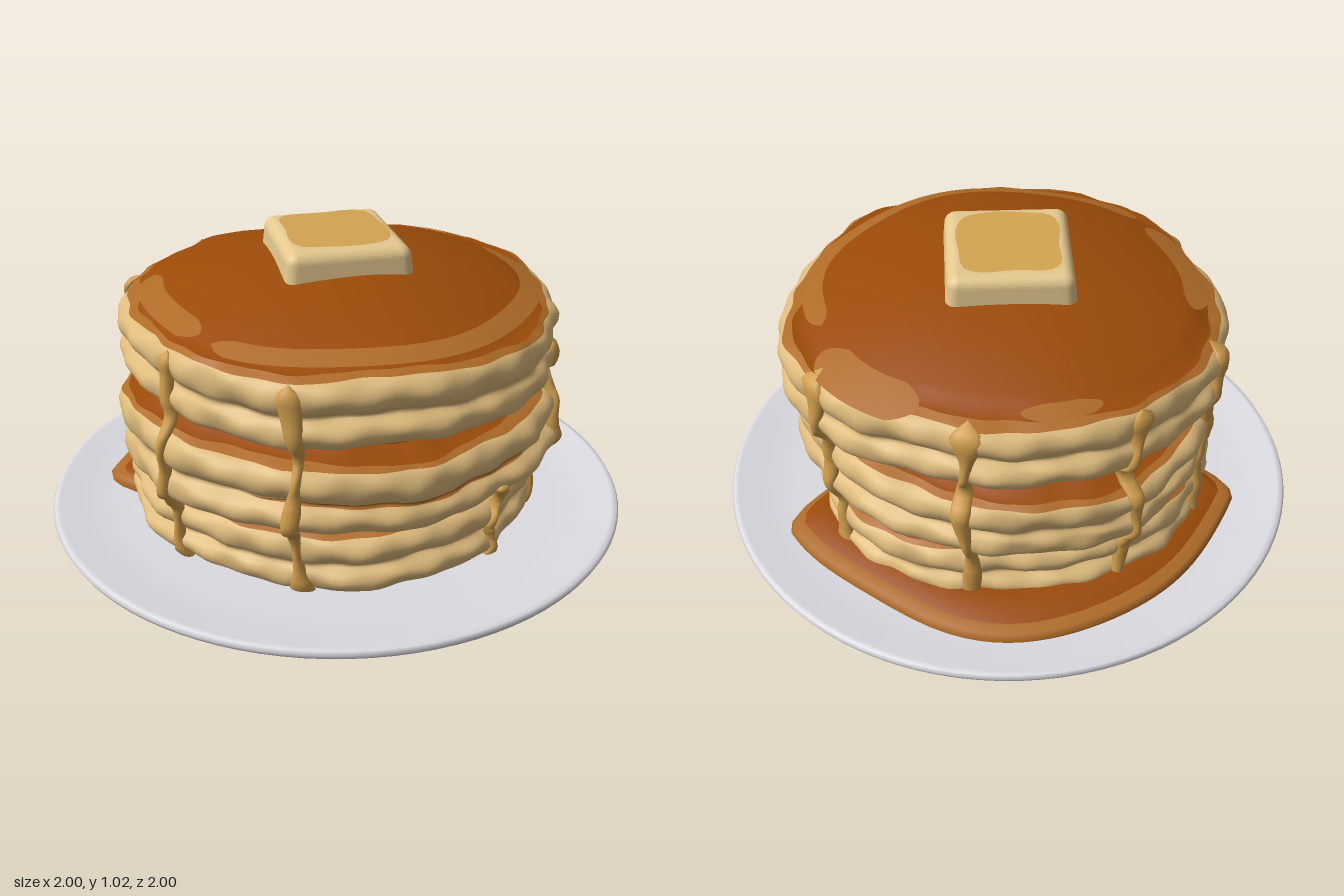
import * as THREE from 'three';
import { RoundedBoxGeometry } from 'three/addons/geometries/RoundedBoxGeometry.js';

const PI = Math.PI, { sin, cos, max, min, hypot, atan2 } = Math;
const mat = (name, color) => Object.assign(new THREE.MeshStandardMaterial({ color }), { name });
const smooth = THREE.MathUtils.smoothstep;

// Surface from cross-section loops: fn(u, a) gives [x, y, z]; rows run upward or inward
function loft(fn, rows, cols, a0 = 0, a1 = 2 * PI) {
  const closed = a1 - a0 > 2 * PI - 0.001;
  const n = closed ? cols : cols + 1, pos = [], idx = [];
  for (let i = 0; i <= rows; i++)
    for (let j = 0; j < n; j++) pos.push(...fn(i / rows, a0 + (a1 - a0) * j / cols));
  for (let i = 0; i < rows; i++)
    for (let j = 0; j < cols; j++) {
      const k = (j + 1) % n, a = i * n + j, b = i * n + k, c = b + n, d = a + n;
      idx.push(a, b, c, a, c, d);
    }
  const g = new THREE.BufferGeometry();
  g.setAttribute('position', new THREE.Float32BufferAttribute(pos, 3));
  g.setIndex(idx);
  g.computeVertexNormals();
  return g;
}

// Angle 0 is the front, growing toward +x
const polar = (r, y, a, cx = 0, cz = 0) => [cx + r * sin(a), y, cz + r * cos(a)];

// Pancake edge: inset from the full radius against height fraction, with a pinched waist
const edge = new THREE.CatmullRomCurve3([
  [-0.3, 0.04], [-0.1, 0], [-0.03, 0.06], [-0.002, 0.22], [-0.008, 0.36], [-0.035, 0.47],
  [-0.012, 0.58], [0, 0.76], [-0.02, 0.92], [-0.06, 1],
].map(([x, y]) => new THREE.Vector3(x, y, 0)));

const layers = [
  { name: 'bottomPancake', y0: 0.06, y1: 0.27, r: 0.695, cx: -0.01, cz: 0, seed: 1, wave: 0.008 },
  { name: 'middlePancake', y0: 0.29, y1: 0.53, r: 0.735, cx: 0, cz: 0.01, seed: 4.3, wave: 0.02 },
  { name: 'topPancake', y0: 0.575, y1: 0.81, r: 0.735, cx: 0.015, cz: 0, seed: 2.2, wave: 0.006 },
];

function sidePoint(L, u, a, out = 0) {
  const p = edge.getPoint(u), s = L.seed;
  let r = L.r + 0.012 * sin(3 * a + s) + 0.008 * sin(5 * a + 2 * s) + 0.005 * sin(11 * a + 3 * s);
  r += p.x * (1 + 0.3 * sin(4 * a + s)) + 0.005 * sin(17 * a + 14 * u + s) + 0.003 * sin(29 * a - 9 * u);
  // the middle pancake bulges low at the front left and high at the back right
  if (L === layers[1]) r += 0.03 * cos(a - 0.8) * (0.55 - p.y) * smooth(u, 0.2, 0.4);
  const y = L.y0 + (L.y1 - L.y0) * p.y + L.wave * p.y * sin(2 * a + s) + 0.004 * sin(7 * a + s);
  return polar(r + out, y + out * 0.3, a, L.cx, L.cz);
}

// Outermost radius of the stack near a height
function stackRadius(y, a) {
  let best = 0.62;
  for (const L of layers)
    for (let u = 0.2; u <= 1; u += 0.05) {
      const p = sidePoint(L, u, a);
      if (Math.abs(p[1] - y) < 0.03) best = max(best, hypot(p[0], p[2]));
    }
  return best;
}

const domeY = (r, a) => 0.947 - 0.29 * r * r + 0.006 * sin(3 * a + 1) * r + 0.006 * sin(6 * a) * r * r;

export function createModel() {
  const plateMat = mat('plateWhite', 0xdcdbe1), cake = mat('pancakeTan', 0xdeba7c);
  const syrup = mat('darkSyrup', 0x9c4b08), amber = mat('amberSyrup', 0xb06c28);
  const gold = mat('goldenDrip', 0xcf9d4c), butterMat = mat('butter', 0xe4c88e);
  const melted = mat('meltedButter', 0xd4a552);
  const model = new THREE.Group();
  model.name = 'pancakeStack';
  const add = (name, geo, m, parent = model) => {
    const mesh = new THREE.Mesh(geo, m);
    mesh.name = name;
    parent.add(mesh);
    return mesh;
  };

  // Plate
  const plateProfile = [[0, 0], [0.78, 0], [0.85, 0.006], [0.95, 0.035], [0.993, 0.058], [1, 0.072],
    [0.993, 0.085], [0.975, 0.085], [0.9, 0.072], [0.78, 0.058], [0, 0.055]];
  add('plate', new THREE.LatheGeometry(plateProfile.map(p => new THREE.Vector2(...p)), 96), plateMat);

  // Syrup puddle spreading behind the stack
  const puddleR = a => {
    const d = Math.abs(atan2(sin(a - PI), cos(a - PI)));
    return 0.6 + 0.225 * (1 - smooth(d, 1.2, 1.5)) + 0.025 * cos(4 * d) + 0.008 * sin(7 * a);
  };
  const rim = [[0, 0.055], [0.002, 0.075], [-0.012, 0.09], [-0.055, 0.096]];
  add('puddleRim', loft((u, a) => {
    const [dr, y] = rim[Math.round(u * 3)];
    return polar(puddleR(a) + dr, y, a);
  }, 3, 120), amber);
  add('puddle', loft((u, a) => polar((puddleR(a) - 0.05) * (1 - 0.4 * u), 0.096 + 0.02 * min(1, u * 6), a), 6, 120), syrup);

  // Syrup core filling the gaps between pancakes
  const core = add('syrupCore', new THREE.CylinderGeometry(0.61, 0.61, 0.5, 64, 1, true), syrup);
  core.position.y = 0.4;

  // Pancakes with syrup on each top
  layers.forEach((L, i) => {
    const g = new THREE.Group();
    g.name = L.name;
    model.add(g);
    add('pancakeEdge', loft((u, a) => sidePoint(L, u, a), 32, 144), cake, g);
    add('syrupEdge', loft((u, a) => sidePoint(L, 0.925 + 0.075 * u + 0.012 * sin(5 * a + i) * (1 - u), a, 0.005), 4, 144), amber, g);
    add('syrupTop', loft((u, a) => {
      const [x, y, z] = sidePoint(L, 1, a, 0.008);
      const px = L.cx + (x - L.cx) * (1 - u), pz = L.cz + (z - L.cz) * (1 - u);
      const h = i === 2 ? domeY(hypot(px, pz), a) : y + 0.03 * min(1, u * 8);
      return [px, y + (h - y) * min(1, u * 12), pz];
    }, 24, 144), syrup, g);
  });

  // Syrup seam across the front of the middle pancake
  add('middleSeam', loft((u, a) => {
    const fade = min(1, (a + 0.7) * 4, (1.75 - a) * 4);
    return sidePoint(layers[1], 0.56 + (u - 0.5) * 0.065 * fade, a, 0.006);
  }, 4, 70, -0.7, 1.75), amber);

  // Thin-syrup patches on the top: start, end (degrees), inner and outer radius
  const patches = [[-54, 106, 0.595, 0.665], [-110, -60, 0.575, 0.66], [178, 200, 0.62, 0.68], [116, 152, 0.6, 0.73]];
  for (const [d0, d1, r0, r1] of patches) {
    const a0 = d0 * PI / 180, a1 = d1 * PI / 180, mid = (r0 + r1) / 2;
    add('thinSyrupPatch', loft((u, a) => {
      const fade = Math.sqrt(max(0, min(1, (a - a0) * 9, (a1 - a) * 9)));
      const r = mid + (r1 - r0) * (0.5 - u) * fade + 0.008 * sin(6 * a);
      return polar(r, domeY(r, a) + 0.007, a, 0.01, 0);
    }, 4, 60, a0, a1), amber);
  }

  // Drips running down the side: x, z, top height, half width
  const drips = [[0.61, 0.34, 0.7, 0.019], [0.35, 0.62, 0.35, 0.018], [-0.32, 0.63, 0.8, 0.03],
    [-0.62, 0.31, 0.8, 0.026], [-0.64, -0.36, 0.81, 0.032], [-0.32, -0.65, 0.81, 0.028],
    [0.21, -0.71, 0.82, 0.032], [0.63, -0.38, 0.82, 0.034]];
  drips.forEach(([x, z, top, w], k) => {
    const a = atan2(x, z);
    add('syrupDrip', loft((u, b) => {
      const y = 0.07 + (top - 0.07) * u;
      const r = (stackRadius(y - 0.025, a) + stackRadius(y, a) + stackRadius(y + 0.025, a)) / 3;
      const flare = 0.75 + 0.25 * sin(u * 15 + k) + 0.7 * smooth(u, 0.8, 0.97) + 0.4 * (1 - smooth(u, 0, 0.1));
      const end = Math.sqrt(max(0, min(1, (1 - u) * 18)));
      const t = w * flare * end * sin(b) + 0.012 * sin(u * 9 + k), n = r + 0.022 * end * cos(b) - 0.005;
      return [n * sin(a) + t * cos(a), y, n * cos(a) - t * sin(a)];
    }, 36, 12), gold);
  });

  // Butter pat, flared and wavy at its base
  const butter = new THREE.Group();
  butter.name = 'butter';
  butter.position.set(0, 0.95, -0.015);
  butter.rotation.y = -0.06;
  model.add(butter);
  const pat = new RoundedBoxGeometry(0.4, 0.13, 0.44, 5, 0.035);
  const p = pat.attributes.position;
  for (let i = 0; i < p.count; i++) {
    const y = p.getY(i), s = 1 + 0.06 * (0.065 - y) / 0.13 + 0.012 * sin(p.getX(i) * 17 + p.getZ(i) * 23);
    p.setXYZ(i, p.getX(i) * s, y, p.getZ(i) * s);
  }
  pat.computeVertexNormals();
  add('butterPat', pat, butterMat, butter);

  // Melted top of the butter
  add('meltedTop', loft((u, a) => {
    const k = (1 - u) / Math.pow(Math.abs(sin(a)) ** 5 + Math.abs(cos(a)) ** 5, 0.2);
    const wob = 1 + 0.03 * sin(5 * a + 1);
    return [0.165 * k * wob * sin(a), 0.069, 0.178 * k * wob * cos(a)];
  }, 2, 48), melted, butter);
  return model;
}
